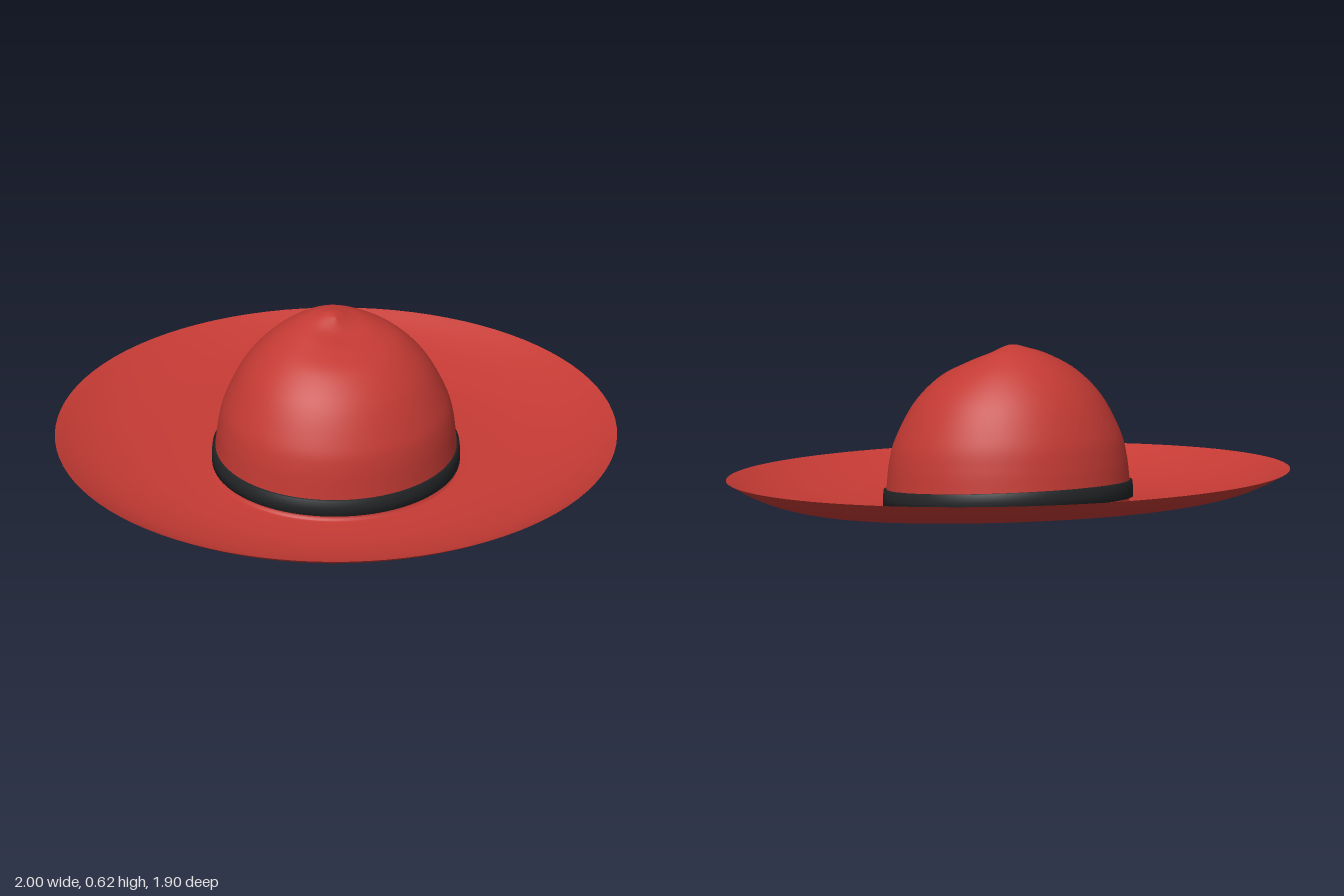
import * as THREE from 'three';
import { mergeVertices } from 'three/addons/utils/BufferGeometryUtils.js';

const SEGMENTS = 96;

// Skin of oval rings. Each row is [half width, height at back, height at front];
// the height changes evenly from back to front, which tilts the ring.
function ovalSkin(rows, steps, smooth = true) {
  const points = rows.map(r => new THREE.Vector3(...r));
  const curve = new THREE.CatmullRomCurve3(points, false, 'catmullrom', 0.5);
  const rings = smooth ? curve.getPoints(steps) : points;
  const pos = [], index = [];
  for (const { x: r, y: back, z: front } of rings) {
    const depth = r * (0.865 + 0.085 * r); // the oval gets rounder as it widens
    for (let j = 0; j < SEGMENTS; j++) {
      const a = (j / SEGMENTS) * Math.PI * 2;
      const y = THREE.MathUtils.lerp(back, front, (1 + Math.cos(a)) / 2);
      pos.push(r * Math.sin(a), y, depth * Math.cos(a));
    }
  }
  for (let i = 0; i < rings.length - 1; i++) {
    for (let j = 0; j < SEGMENTS; j++) {
      const k = (j + 1) % SEGMENTS;
      const a = i * SEGMENTS + j, b = i * SEGMENTS + k;
      index.push(a, b, b + SEGMENTS, a, b + SEGMENTS, a + SEGMENTS);
    }
  }
  let geo = new THREE.BufferGeometry();
  geo.setAttribute('position', new THREE.Float32BufferAttribute(pos, 3));
  geo.setIndex(index);
  geo = mergeVertices(geo, 1e-5); // welds the apex
  geo.computeVertexNormals();
  return geo;
}

export function createModel() {
  const hat = new THREE.Group();
  hat.name = 'hat';
  const felt = new THREE.MeshStandardMaterial({ color: 0xc43a34, side: THREE.DoubleSide });
  const ribbon = new THREE.MeshStandardMaterial({ color: 0x222426, side: THREE.DoubleSide });

  const add = (name, geo, mat) => {
    const mesh = new THREE.Mesh(geo, mat);
    mesh.name = name;
    hat.add(mesh);
  };

  // Wide brim with a curled-up edge, tilted down at the front
  add('brim', ovalSkin([
    [1.0, 0.195, 0.12],
    [0.93, 0.158, 0.08],
    [0.84, 0.123, 0.043],
    [0.72, 0.095, 0.014],
    [0.6, 0.082, 0.001],
    [0.46, 0.073, 0.008],
    [0.435, 0.08, 0.017],
    [0.43, 0.1, 0.036],
  ], 42), felt);

  // Domed crown with a dent in front of the peak
  const w = 0.435;
  add('crown', ovalSkin([
    [w, 0.15, 0.085],
    [w * 0.975, 0.23, 0.205],
    [w * 0.92, 0.325, 0.285],
    [w * 0.77, 0.45, 0.405],
    [w * 0.56, 0.545, 0.495],
    [w * 0.33, 0.605, 0.54],
    [w * 0.16, 0.623, 0.563],
    [w * 0.08, 0.625, 0.583],
    [0, 0.615, 0.615],
  ], 56), felt);

  // Dark ribbon joining crown and brim, its edges turned in
  add('hatBand', ovalSkin([
    [0.43, 0.095, 0.031],
    [0.446, 0.097, 0.033],
    [0.447, 0.125, 0.061],
    [0.444, 0.155, 0.091],
    [0.434, 0.156, 0.092],
  ], 0, false), ribbon);

  return hat;
}
